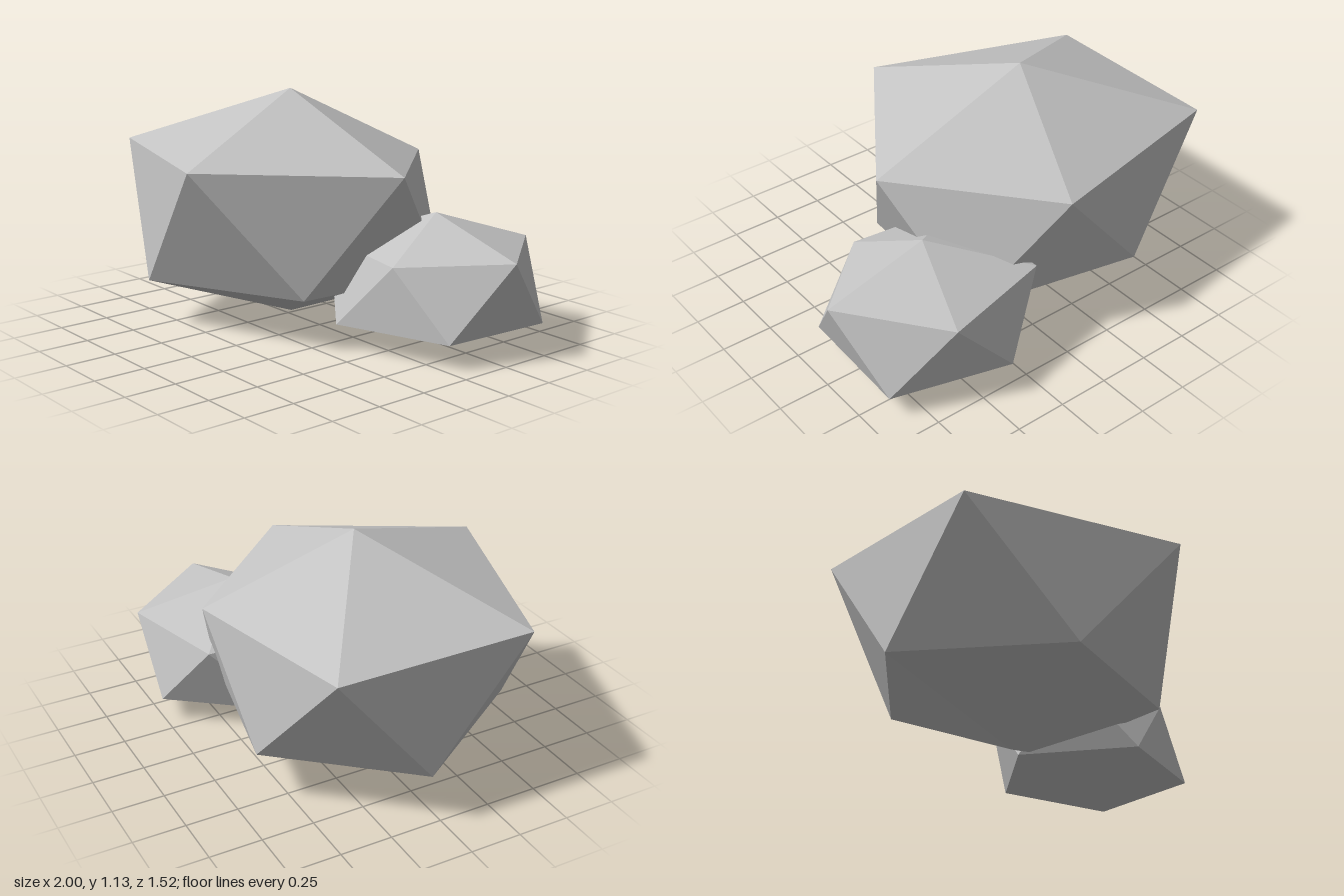
import * as THREE from 'three';

const stone = new THREE.MeshStandardMaterial({ color: 0xc3c3c3, flatShading: true });
stone.name = 'stone grey';

// Irregular twenty-sided rock: two tips joined by two staggered rings of five points.
function makeRock(name, top, upper, lower, bottom) {
  const corners = [];
  const face = (...points) => points.forEach((p) => corners.push(...p));
  for (let i = 0; i < 5; i++) {
    const j = (i + 1) % 5;
    face(top, upper[j], upper[i]);
    face(upper[i], upper[j], lower[i]);
    face(lower[j], lower[i], upper[j]);
    face(bottom, lower[i], lower[j]);
  }
  const geometry = new THREE.BufferGeometry();
  geometry.setAttribute('position', new THREE.Float32BufferAttribute(corners, 3));
  geometry.computeVertexNormals();
  const mesh = new THREE.Mesh(geometry, stone);
  mesh.name = name;
  return mesh;
}

export function createModel() {
  const model = new THREE.Group();
  model.name = 'rocks';

  // Large boulder
  model.add(makeRock(
    'largeRock',
    [-0.275, 1.127, -0.04],
    [[0.55, 0.812, -0.04], [0.008, 0.848, 0.757], [-1, 0.836, 0.435], [-0.995, 0.83, -0.515], [-0.045, 0.783, -0.685]],
    [[0.305, 0.253, 0.34], [-0.52, 0.225, 0.64], [-1, 0.25, -0.05], [-0.5, 0.26, -0.65], [0.358, 0.257, -0.47]],
    [-0.275, 0, -0.04],
  ));

  // Small rock leaning into the boulder
  model.add(makeRock(
    'smallRock',
    [0.49, 0.607, -0.297],
    [[1, 0.465, -0.297], [0.61, 0.43, 0.08], [0.08, 0.45, 0], [0.085, 0.46, -0.61], [0.64, 0.455, -0.75]],
    [[0.885, 0.12, -0.01], [0.335, 0.12, 0.175], [-0.015, 0.108, -0.28], [0.34, 0.12, -0.76], [0.9, 0.11, -0.597]],
    [0.49, 0, -0.297],
  ));

  return model;
}
